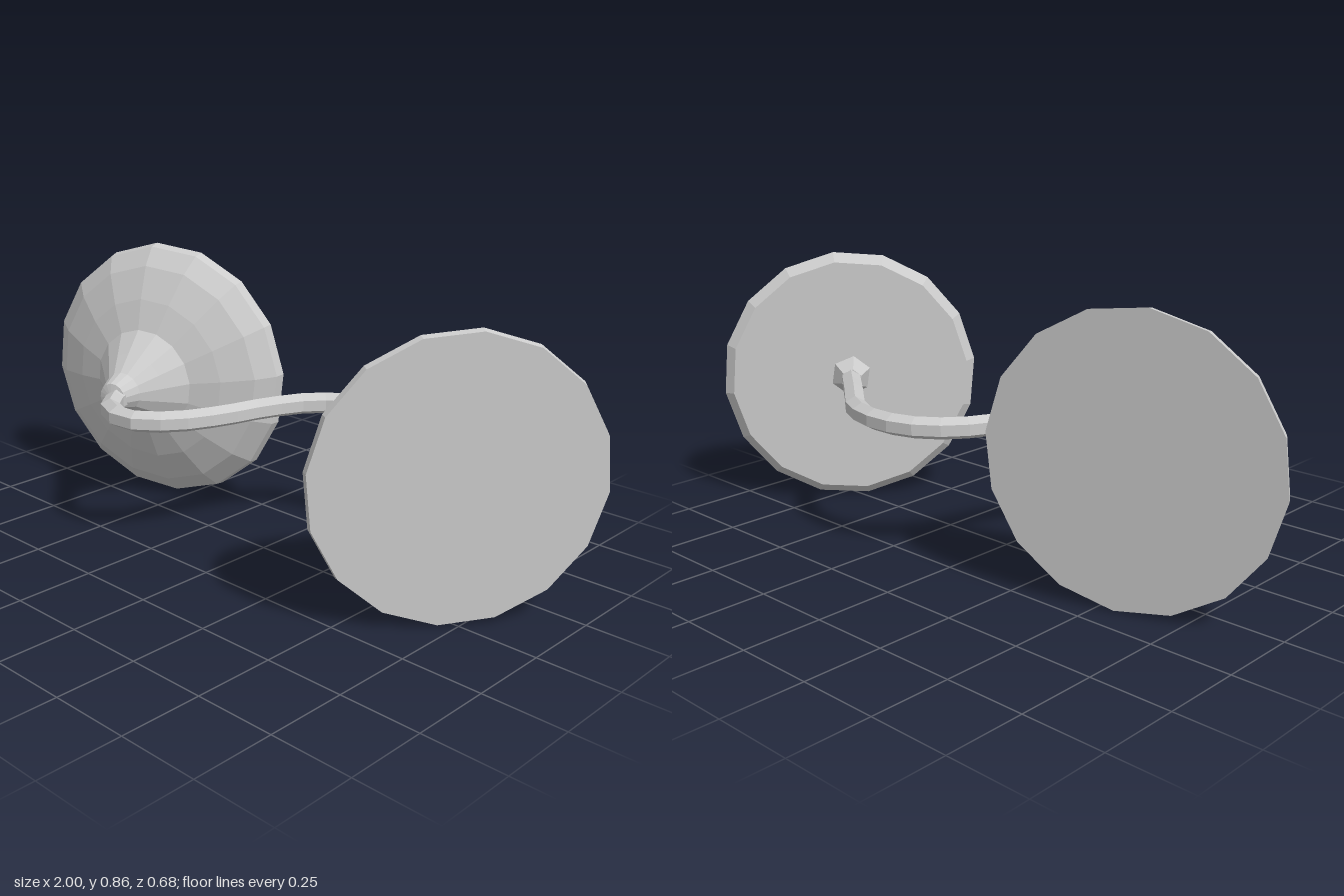
import * as THREE from 'three';

const MID = 0.43; // height of the arm and both plate centres

export function createModel() {
  const group = new THREE.Group();
  const material = new THREE.MeshStandardMaterial({ color: 0xcccccc, flatShading: true });

  // Turned part whose axis points along the horizontal direction (nx, nz)
  function turned(name, profile, sides, x, y, z, nx, nz) {
    const points = profile.map(([r, h]) => new THREE.Vector2(r, h));
    const mesh = new THREE.Mesh(new THREE.LatheGeometry(points, sides), material);
    mesh.name = name;
    mesh.position.set(x, y, z);
    mesh.quaternion.setFromUnitVectors(
      new THREE.Vector3(0, 1, 0), new THREE.Vector3(nx, 0, nz).normalize());
    group.add(mesh);
  }

  // Domed cup: flat back, rounded rim, flared neck
  turned('cup', [
    [0, 0], [0.432, 0], [0.425, 0.035], [0.37, 0.085], [0.27, 0.135],
    [0.175, 0.17], [0.115, 0.24], [0.065, 0.3], [0.045, 0.36], [0, 0.37],
  ], 16, -0.59, 0.435, -0.15, 0.30, 0.953);

  // Thin round plate, slightly narrower at the back
  turned('plate', [
    [0, 0], [0.395, 0], [0.425, 0.03], [0.42, 0.052], [0, 0.052],
  ], 16, 0.697, 0.424, -0.024, 0.78, 0.626);

  // Small hub where the arm meets the plate
  turned('hub', [[0, -0.06], [0.035, -0.06], [0.07, 0], [0, 0.01]],
    6, 0.70, MID, -0.022, 0.78, 0.626);

  // S-shaped arm
  const path = new THREE.CatmullRomCurve3([
    [-0.49, 0.13], [-0.445, 0.225], [-0.37, 0.285], [-0.26, 0.285], [-0.17, 0.2],
    [-0.11, 0.07], [-0.07, -0.07], [-0.01, -0.2], [0.08, -0.285], [0.21, -0.318],
    [0.36, -0.285], [0.5, -0.18], [0.7, -0.025],
  ].map(([x, z]) => new THREE.Vector3(x, MID, z)));
  const arm = new THREE.Mesh(new THREE.TubeGeometry(path, 22, 0.034, 6), material);
  arm.name = 'arm';
  group.add(arm);

  return group;
}
